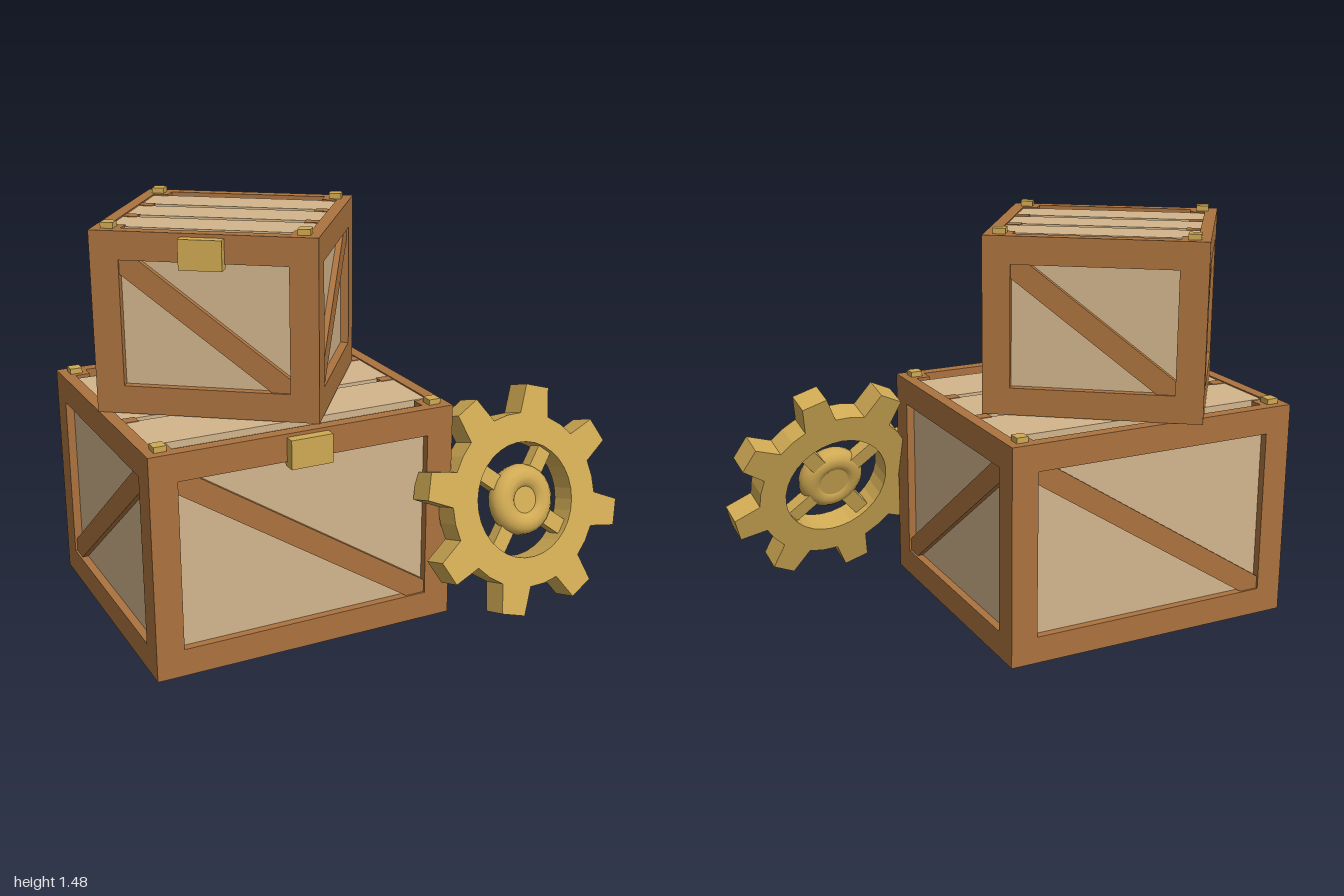
import * as THREE from 'three';

const mat = (name, color, flatShading = false) => {
  const m = new THREE.MeshStandardMaterial({ color, flatShading });
  m.name = name;
  return m;
};

export function createModel() {
  const wood = mat('brown wood', 0xab733f);
  const pale = mat('pale planks', 0xd2b58c);
  const brass = mat('brass', 0xd0aa54);

  const add = (parent, name, geo, material, x = 0, y = 0, z = 0) => {
    const m = new THREE.Mesh(geo, material);
    m.name = name;
    m.position.set(x, y, z);
    parent.add(m);
    return m;
  };
  const box = (parent, name, material, w, h, d, x, y, z) =>
    add(parent, name, new THREE.BoxGeometry(w, h, d), material, x, y, z);

  // Diagonal board clipped to a w by h opening, running top left to bottom right
  const braceGeometry = (w, h, width, depth) => {
    const len = Math.hypot(w, h);
    const dx = (width / 2) * len / h, dy = (width / 2) * len / w;
    const X = w / 2, Y = h / 2;
    const pts = [[-X, Y], [-X, Y - dy], [X - dx, -Y], [X, -Y], [X, -Y + dy], [-X + dx, Y]];
    const shape = new THREE.Shape(pts.map(p => new THREE.Vector2(p[0], p[1])));
    return new THREE.ExtrudeGeometry(shape, { depth, bevelEnabled: false });
  };

  const crate = (name, w, h, d, latchW) => {
    const g = new THREE.Group();
    g.name = name;
    const B = 0.1, T = 0.045, R = 0.03;

    // Recessed walls
    box(g, 'panels', pale, w - 2 * R, h - 2 * R, d - 2 * R, 0, h / 2, 0);

    // Corner posts with square studs on top
    for (const sx of [-1, 1]) for (const sz of [-1, 1]) {
      box(g, 'cornerPost', wood, B, h, B, sx * (w - B) / 2, h / 2, sz * (d - B) / 2);
      box(g, 'stud', brass, 0.045, 0.03, 0.045, sx * (w / 2 - 0.055), h + 0.005, sz * (d / 2 - 0.055));
    }

    // Rails along the upper and lower edges
    for (const y of [B / 2, h - B / 2]) for (const s of [-1, 1]) {
      box(g, 'longRail', wood, w - 2 * B, B, T, 0, y, s * (d - T) / 2);
      box(g, 'sideRail', wood, T, B, d - 2 * B, s * (w - T) / 2, y, 0);
    }

    // One diagonal brace per wall
    for (let i = 0; i < 4; i++) {
      const [across, out] = i % 2 ? [d, w] : [w, d];
      const wall = new THREE.Group();
      wall.name = 'wallBrace';
      wall.rotation.y = i * Math.PI / 2;
      const brace = add(wall, 'brace', braceGeometry(across - 2 * B, h - 2 * B, 0.08, 0.025),
        wood, 0, h / 2, out / 2 - R - 0.003);
      if (i % 2) { // side walls lean the other way
        brace.rotation.y = Math.PI;
        brace.position.z += 0.025;
      }
      g.add(wall);
    }

    // Lid boards, with blocks showing in the gaps
    const step = 0.265 * d, gap = 0.03;
    for (let i = -1; i <= 1; i++)
      box(g, 'lidBoard', pale, w - 2 * T, 0.03, step - gap, 0, h - 0.02, i * step);
    for (const sx of [-1, 1]) for (const sz of [-1, 1])
      box(g, 'lidBlock', wood, 0.05, 0.03, 0.045, sx * (w / 2 - T - 0.025), h - 0.018, sz * step / 2);

    // Front latch
    box(g, 'latch', brass, latchW, 0.105, 0.05, 0, h - 0.065, d / 2 + 0.012);
    return g;
  };

  // Toothed wheel with spokes and a rounded hub
  const cog = () => {
    const g = new THREE.Group();
    g.name = 'gear';
    const teeth = 8, root = 0.32, tip = 0.425, thick = 0.1;
    const pts = [];
    const start = THREE.MathUtils.degToRad(27);
    for (let i = 0; i < teeth; i++) {
      const a = start + i * 2 * Math.PI / teeth;
      for (const [r, off] of [[root, -0.2], [tip, -0.118], [tip, 0.118], [root, 0.2]])
        pts.push(new THREE.Vector2(r * Math.cos(a + off), r * Math.sin(a + off)));
      const v = a + Math.PI / teeth; // rounds the valley
      pts.push(new THREE.Vector2(root * Math.cos(v), root * Math.sin(v)));
    }
    const shape = new THREE.Shape(pts);
    const hole = new THREE.Path();
    hole.absarc(0, 0, 0.213, 0, Math.PI * 2, true);
    shape.holes.push(hole);
    const rim = new THREE.ExtrudeGeometry(shape, { depth: thick, bevelEnabled: false, curveSegments: 16 });
    add(g, 'toothedRim', rim, brass, 0, 0, -thick / 2);

    for (let i = 0; i < 4; i++) {
      const a = start + Math.PI / teeth + i * Math.PI / 2;
      const s = box(g, 'spoke', brass, 0.16, 0.06, 0.05, 0.15 * Math.cos(a), 0.15 * Math.sin(a), 0);
      s.rotation.z = a;
    }
    add(g, 'hubRing', new THREE.TorusGeometry(0.085, 0.048, 12, 24), brass, 0, 0, 0.015);
    const axle = new THREE.CylinderGeometry(0.06, 0.06, 0.07, 16).rotateX(Math.PI / 2);
    add(g, 'axle', axle, brass, 0, 0, 0.01);
    return g;
  };

  const model = new THREE.Group();
  model.name = 'cratesAndGear';

  const large = crate('largeCrate', 1.138, 0.815, 1.022, 0.155);
  large.position.set(-0.35, 0, 0);
  large.rotation.y = 0.176;

  const small = crate('smallCrate', 0.785, 0.645, 0.73, 0.15);
  small.position.set(-0.398, 0.815, -0.045);
  small.rotation.y = -0.454;

  const gear = cog();
  gear.position.set(0.575, 0.41, 0.383);
  gear.rotation.set(-0.31, 0.25, 0, 'YXZ');

  model.add(large, small, gear);
  return model;
}
